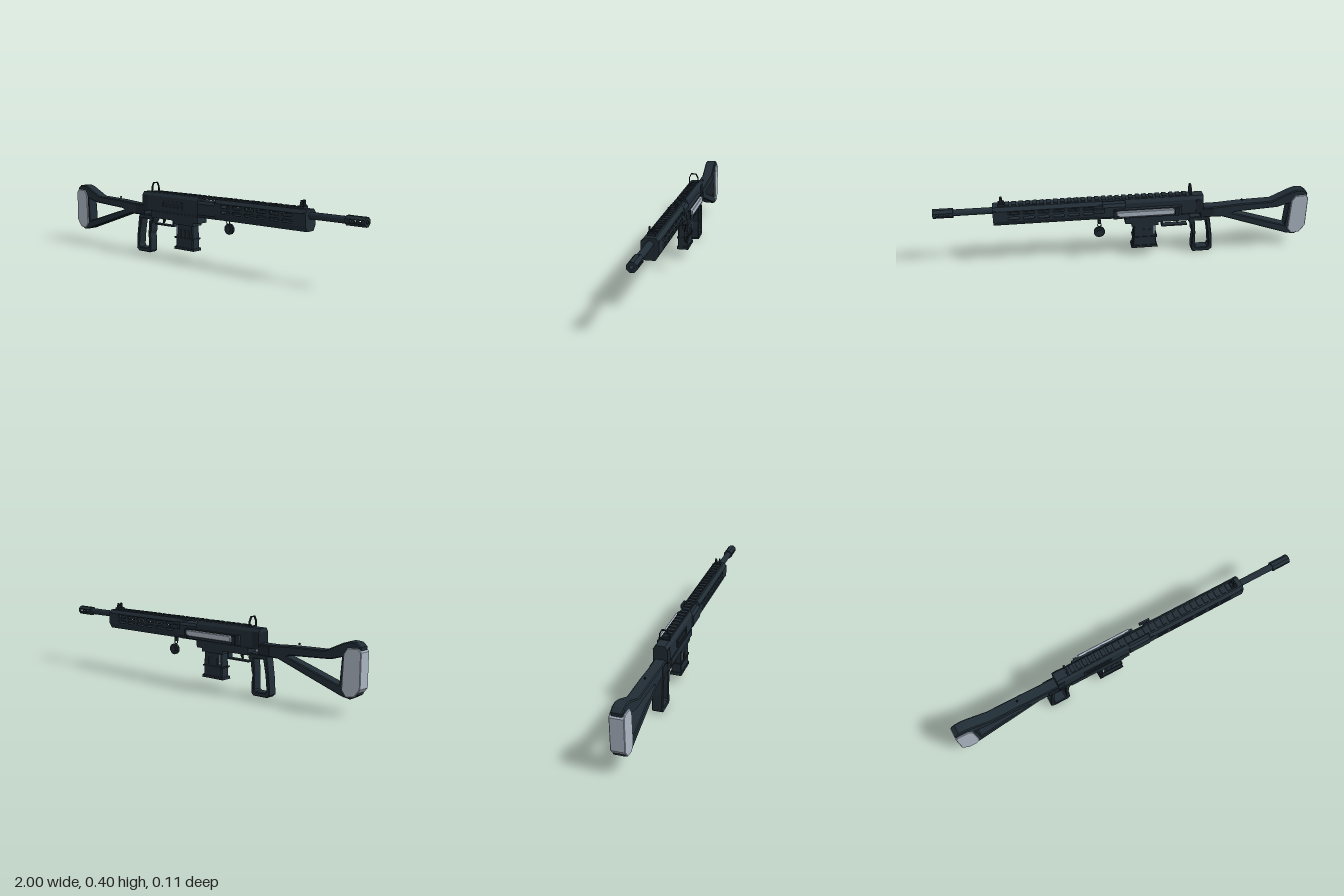
import * as THREE from 'three';

const ZC = 0.013; // centre plane of the long body

const mat = (name, color) => {
  const m = new THREE.MeshStandardMaterial({ color, flatShading: true });
  m.name = name;
  return m;
};

export function createModel() {
  const root = new THREE.Group();
  const dark = mat('gunmetal', 0x212d36);
  const black = mat('blackSteel', 0x1a242c);
  const grey = mat('lightGrey', 0xacb7c4);

  const add = (name, geo, m = dark) => {
    const mesh = new THREE.Mesh(geo, m);
    mesh.name = name;
    root.add(mesh);
    return mesh;
  };
  // box given by its limits
  const box = (name, x0, x1, y0, y1, z0, z1, m) => add(name,
    new THREE.BoxGeometry(x1 - x0, y1 - y0, z1 - z0)
      .translate((x0 + x1) / 2, (y0 + y1) / 2, (z0 + z1) / 2), m);
  // box centred on the body plane, h = half width
  const mid = (name, x0, x1, y0, y1, h, m) => box(name, x0, x1, y0, y1, ZC - h, ZC + h, m);
  // outline, always counter-clockwise so that hole walls face outwards
  const poly = pts => {
    const v = pts.map(p => new THREE.Vector2(...p));
    return THREE.ShapeUtils.isClockWise(v) ? v.reverse() : v;
  };
  const slotPath = (x0, x1, y0, y1, c) => poly([[x0 + c, y0], [x1 - c, y0], [x1, y0 + c],
    [x1, y1 - c], [x1 - c, y1], [x0 + c, y1], [x0, y1 - c], [x0, y0 + c]]);
  // side profile in x, y with thickness along z
  const profile = (name, pts, z0, z1, m = dark, holes = [], bevel = 0) => {
    const s = new THREE.Shape(poly(pts));
    s.holes = holes.map(h => new THREE.Path(h));
    const g = new THREE.ExtrudeGeometry(s, {
      depth: z1 - z0 - 2 * bevel, bevelEnabled: bevel > 0, bevelSize: bevel,
      bevelOffset: -bevel, bevelThickness: bevel, bevelSegments: 1,
    });
    return add(name, g.translate(0, 0, z0 + bevel), m);
  };
  // cross-section in z, y swept along x; the right half is mirrored
  const mirrored = half => poly([...half, ...half.slice().reverse().map(([z, y]) => [-z, y])]);
  const sweep = (name, half, x0, x1, m = dark, hole) => {
    const s = new THREE.Shape(mirrored(half));
    if (hole) s.holes.push(new THREE.Path(mirrored(hole)));
    const g = new THREE.ExtrudeGeometry(s, { depth: x1 - x0, bevelEnabled: false });
    return add(name, g.rotateY(Math.PI / 2).translate(x0, 0, ZC), m);
  };
  const rod = (name, r, x0, x1, y, z, n) => add(name,
    new THREE.CylinderGeometry(r, r, x1 - x0, n).rotateY(Math.PI / n).rotateZ(Math.PI / 2)
      .translate((x0 + x1) / 2, y, z));

  // receiver
  sweep('receiver', [[0.03, 0.243], [0.036, 0.255], [0.036, 0.332], [0.024, 0.35]], -0.42, 0);
  sweep('receiverNose', [[0.03, 0.243], [0.043, 0.26], [0.043, 0.318], [0.03, 0.332]], 0, 0.12);
  mid('lowerReceiver', -0.35, 0, 0.208, 0.246, 0.036);
  mid('magazineWell', -0.18, -0.035, 0.19, 0.21, 0.034);
  mid('receiverStep', -0.42, -0.38, 0.255, 0.33, 0.038, black);

  // port frame on the left side
  profile('portFrame', [[-0.27, 0.272], [-0.11, 0.272], [-0.11, 0.312], [-0.27, 0.312]],
    ZC + 0.035, ZC + 0.041, dark, [slotPath(-0.258, -0.122, 0.28, 0.304, 0.005)]);
  box('portCover', -0.258, -0.122, 0.28, 0.304, ZC + 0.034, ZC + 0.037, black);

  // bolt assembly on the right side
  box('boltPlate', -0.3, 0.065, 0.253, 0.305, -0.042, -0.022);
  profile('boltBar', [[-0.26, 0.268], [0.03, 0.268], [0.05, 0.28], [0.05, 0.3], [-0.25, 0.3], [-0.26, 0.29]],
    -0.057, -0.041, grey, [], 0.003);
  for (const x of [-0.285, 0.045]) box('boltClamp', x, x + 0.02, 0.256, 0.302, -0.05, -0.03, black);
  box('chargingStem', 0.13, 0.15, 0.303, 0.317, -0.046, -0.02);
  box('chargingHandle', 0.11, 0.17, 0.298, 0.32, -0.051, -0.041);

  // hollow handguard with open slots
  sweep('handguardTop', [[0.043, 0.331], [0.028, 0.35]], 0.12, 0.693);
  sweep('handguardBottom', [[0.026, 0.243], [0.043, 0.272]], 0.12, 0.693);
  const slots = [];
  for (let i = 0; i < 6; i++)
    for (const y of [0.288, 0.318]) {
      const x = 0.165 + i * 0.078;
      slots.push(slotPath(x, x + 0.06, y - 0.008, y + 0.008, 0.005));
    }
  const side = [[0.12, 0.272], [0.693, 0.272], [0.693, 0.331], [0.12, 0.331]];
  profile('handguardSide', side, ZC + 0.035, ZC + 0.043, dark, slots);
  profile('handguardSide', side, ZC - 0.043, ZC - 0.035, dark, slots);
  for (const x of [0.12, 0.673]) mid('handguardCap', x, x + 0.02, 0.268, 0.335, 0.042);

  // top rail
  mid('railBase', -0.33, 0.66, 0.342, 0.351, 0.02);
  for (let i = 0; i < 27; i++) {
    const x = -0.33 + i * 0.036;
    mid('railTooth', x, x + 0.022, 0.35, 0.358, 0.02);
  }

  // sights
  sweep('rearSight', [[0.028, 0.35], [0.028, 0.38], [0.015, 0.405]], -0.356, -0.347, black,
    [[0.023, 0.356], [0.023, 0.378], [0.012, 0.4]]);
  mid('frontSightBase', 0.632, 0.664, 0.348, 0.364, 0.02, black);
  for (const s of [-1, 1])
    profile('frontSightEar', [[0.637, 0.36], [0.659, 0.36], [0.653, 0.391], [0.643, 0.391]],
      ZC + s * 0.011 - 0.003, ZC + s * 0.011 + 0.003, black);
  add('frontSightPost', new THREE.CylinderGeometry(0.002, 0.004, 0.025, 6).translate(0.648, 0.372, ZC), black);

  // barrel and ported muzzle
  rod('barrel', 0.018, 0.68, 0.905, 0.32, ZC, 12);
  const R = 0.0235, w = R * Math.tan(Math.PI / 8);
  for (let k = 0; k < 8; k++) {
    const ports = k % 4 ? [] : [0.917, 0.942, 0.967].map(x => slotPath(x, x + 0.014, -0.007, 0.007, 0.004));
    const p = profile('muzzleSide', [[0.9, -w], [1, -w], [1, w], [0.9, w]], R - 0.005, R, dark, ports);
    p.geometry.rotateX(k * Math.PI / 4).translate(0, 0.32, ZC);
  }
  rod('muzzleCollar', 0.026, 0.895, 0.91, 0.32, ZC, 8);
  add('muzzleRim', new THREE.RingGeometry(0.009, 0.024, 8).rotateZ(Math.PI / 8)
    .rotateY(Math.PI / 2).translate(0.9995, 0.32, ZC));

  // magazine
  profile('magazine', [[-0.172, 0.06], [-0.042, 0.06], [-0.048, 0.2], [-0.165, 0.2]],
    ZC - 0.028, ZC + 0.028, dark, [], 0.005);
  profile('magazineBase', [[-0.18, 0.052], [-0.035, 0.052], [-0.038, 0.067], [-0.175, 0.067]],
    ZC - 0.031, ZC + 0.031, black);
  mid('magazineBand', -0.175, -0.04, 0.113, 0.121, 0.031, black);
  for (const x of [-0.14, -0.11, -0.08]) mid('magazineRib', x, x + 0.012, 0.125, 0.165, 0.03);
  mid('magazineWindow', -0.161, -0.154, 0.135, 0.184, 0.0295, grey);

  // trigger and guard
  mid('triggerGuard', -0.34, -0.2, 0.167, 0.174, 0.016);
  mid('guardFront', -0.207, -0.2, 0.167, 0.21, 0.016);
  profile('trigger', [[-0.295, 0.21], [-0.275, 0.21], [-0.28, 0.19], [-0.288, 0.178], [-0.293, 0.178], [-0.289, 0.192]],
    ZC - 0.006, ZC + 0.006, black);

  // open frame grip
  profile('grip', [[-0.46, 0.22], [-0.345, 0.22], [-0.345, 0.195], [-0.362, 0.17], [-0.365, 0.13], [-0.373, 0.11],
    [-0.368, 0.08], [-0.368, 0.015], [-0.378, 0.003], [-0.465, 0.003], [-0.483, 0.018], [-0.478, 0.1], [-0.465, 0.19]],
  ZC - 0.028, ZC + 0.028, dark, [poly([[-0.44, 0.195], [-0.38, 0.195], [-0.387, 0.12], [-0.386, 0.035],
    [-0.395, 0.027], [-0.455, 0.027], [-0.463, 0.04], [-0.455, 0.12]])], 0.004);

  // skeleton stock
  profile('stock', [[-0.995, 0.325], [-0.972, 0.343], [-0.935, 0.346], [-0.9, 0.335], [-0.8, 0.288], [-0.62, 0.283],
    [-0.5, 0.275], [-0.41, 0.275], [-0.41, 0.215], [-0.53, 0.213], [-0.7, 0.153], [-0.9, 0.083], [-0.945, 0.076], [-0.985, 0.1]],
  ZC - 0.03, ZC + 0.03, dark, [poly([[-0.895, 0.268], [-0.835, 0.25], [-0.6, 0.237], [-0.585, 0.23],
    [-0.7, 0.194], [-0.885, 0.134]])], 0.005);
  mid('stockHinge', -0.48, -0.41, 0.222, 0.268, 0.034, black);
  add('slingStud', new THREE.SphereGeometry(0.006, 8, 6).translate(-0.64, 0.296, ZC), black);

  // pale butt pad wrapped round the stock end
  profile('buttPad', [[-0.986, 0.318], [-0.928, 0.315], [-0.908, 0.285], [-0.902, 0.115], [-0.925, 0.085],
    [-0.97, 0.09], [-1, 0.13], [-1, 0.3]], ZC - 0.036, ZC + 0.036, grey, [], 0.003);

  // hanging charm
  box('charmHook', 0.132, 0.148, 0.228, 0.25, -0.04, -0.025, black);
  add('charmRing', new THREE.TorusGeometry(0.01, 0.0025, 6, 12).translate(0.14, 0.222, -0.036), black);
  add('charmDisc', new THREE.CylinderGeometry(0.03, 0.03, 0.014, 10).rotateX(Math.PI / 2).translate(0.142, 0.185, -0.045), black);
  add('charmHub', new THREE.CylinderGeometry(0.014, 0.014, 0.02, 8).rotateX(Math.PI / 2).translate(0.142, 0.185, -0.045));

  return root;
}
